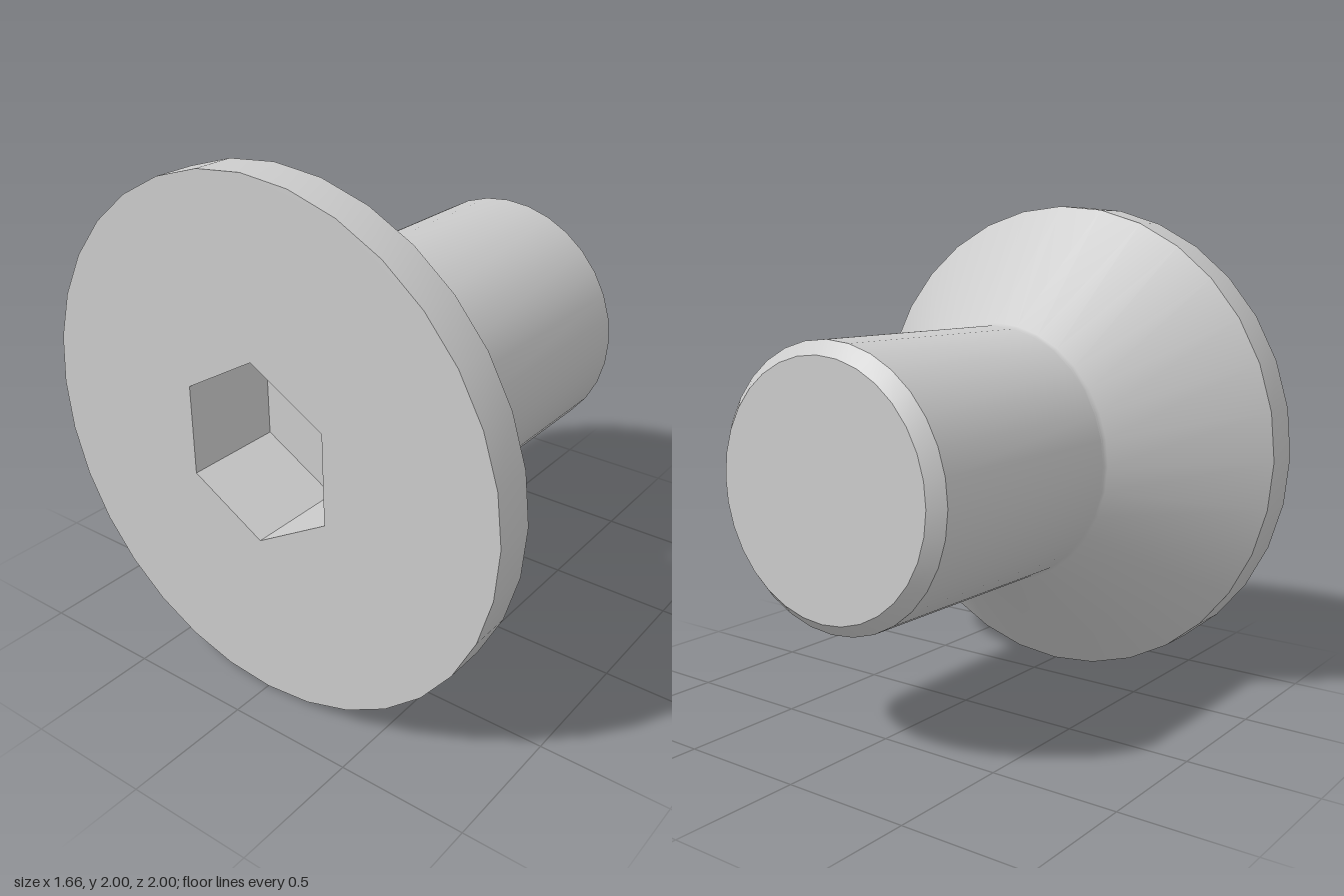
import * as THREE from 'three';
import { toCreasedNormals } from 'three/addons/utils/BufferGeometryUtils.js';

const SEGMENTS = 32;
const HEAD_X = -0.83, TIP_X = 0.83;
const SOCKET_R = 0.35, SOCKET_DEPTH = 0.4;

// Corner points of a regular polygon, first corner on the x axis
function polygon(radius, sides) {
  return Array.from({ length: sides }, (_, i) => {
    const a = (i / sides) * Math.PI * 2;
    return new THREE.Vector2(Math.cos(a) * radius, Math.sin(a) * radius);
  });
}

export function createModel() {
  const model = new THREE.Group();
  model.name = 'countersunkScrew';

  // Parts are built along +y, then the axis is laid along +x
  const screw = new THREE.Group();
  screw.name = 'screw';
  screw.rotation.z = -Math.PI / 2;
  screw.position.y = 1;
  model.add(screw);

  const grey = new THREE.MeshStandardMaterial({ color: 0xcccccc });
  const socketGrey = new THREE.MeshStandardMaterial({
    color: 0xcccccc, flatShading: true, side: THREE.DoubleSide,
  });
  const add = (name, geometry, material, y = 0) => {
    const mesh = new THREE.Mesh(geometry, material);
    mesh.name = name;
    mesh.position.y = y;
    screw.add(mesh);
  };

  // Rim, cone, shank, chamfer and flat tip, turned in one piece
  const profile = [
    [1, HEAD_X], [1, -0.67], [0.53, -0.2], [0.522, -0.19], [0.52, -0.18],
    [0.52, 0.78], [0.47, TIP_X], [0, TIP_X],
  ].map(([r, y]) => new THREE.Vector2(r, y));
  add('headAndShank', toCreasedNormals(new THREE.LatheGeometry(profile, SEGMENTS), 0.6), grey);

  // Flat head face with a hexagonal opening
  const face = new THREE.Shape(polygon(1, SEGMENTS));
  face.holes.push(new THREE.Path(polygon(SOCKET_R, 6).reverse()));
  add('headFace', new THREE.ShapeGeometry(face).rotateX(Math.PI / 2), grey, HEAD_X);

  // Hex socket walls and floor
  add('socketWalls',
    new THREE.CylinderGeometry(SOCKET_R, SOCKET_R, SOCKET_DEPTH, 6, 1, true, Math.PI / 2),
    socketGrey, HEAD_X + SOCKET_DEPTH / 2);
  add('socketFloor', new THREE.CircleGeometry(SOCKET_R, 6).rotateX(Math.PI / 2),
    socketGrey, HEAD_X + SOCKET_DEPTH);

  return model;
}
